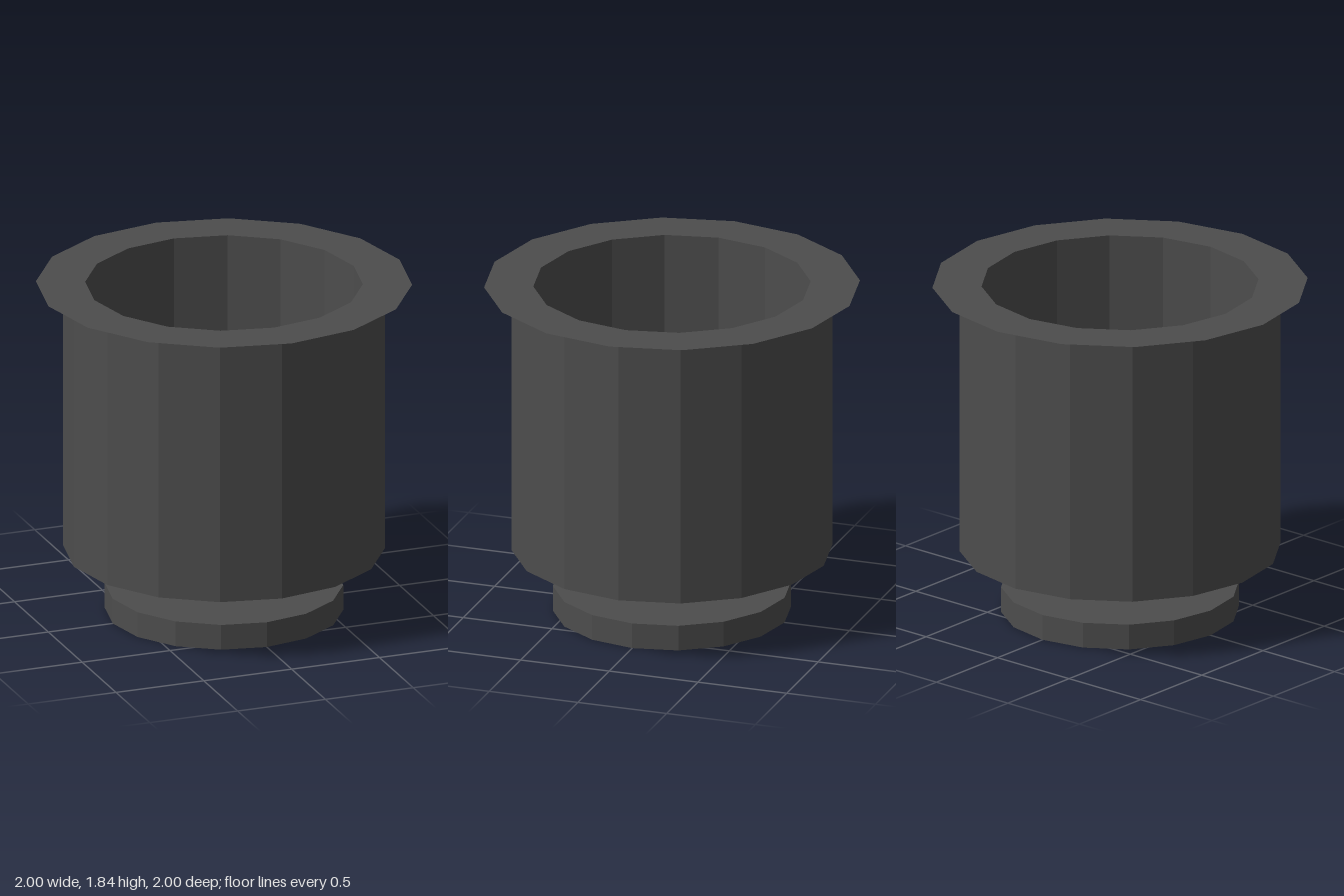
import * as THREE from 'three';

const SIDES = 16;
const material = new THREE.MeshStandardMaterial({ color: 0x4d4d4d, flatShading: true, side: THREE.DoubleSide });

// Revolve a [radius, height] profile into a named low-poly part
function turned(name, profile) {
  const points = profile.map(([r, y]) => new THREE.Vector2(r, y));
  const mesh = new THREE.Mesh(new THREE.LatheGeometry(points, SIDES), material);
  mesh.name = name;
  return mesh;
}

export function createModel() {
  const model = new THREE.Group();
  model.name = 'flangedCup';
  model.add(
    // Hollow foot, open underneath, with a hole where the stem joins
    turned('foot', [[0.634, 0], [0.634, 0.14], [0.17, 0.14]]),
    // Open tube between foot and cup
    turned('stem', [[0.17, 0.14], [0.17, 0.35]]),
    // Outer shell and its closed underside
    turned('cupShell', [[0, 0.35], [0.855, 0.35], [0.855, 1.843]]),
    // Inner wall and floor
    turned('cupLining', [[0.738, 1.843], [0.738, 0.46], [0, 0.46]]),
    // Paper-thin rim around the mouth
    turned('flange', [[1, 1.843], [0.738, 1.843]]),
  );
  return model;
}
